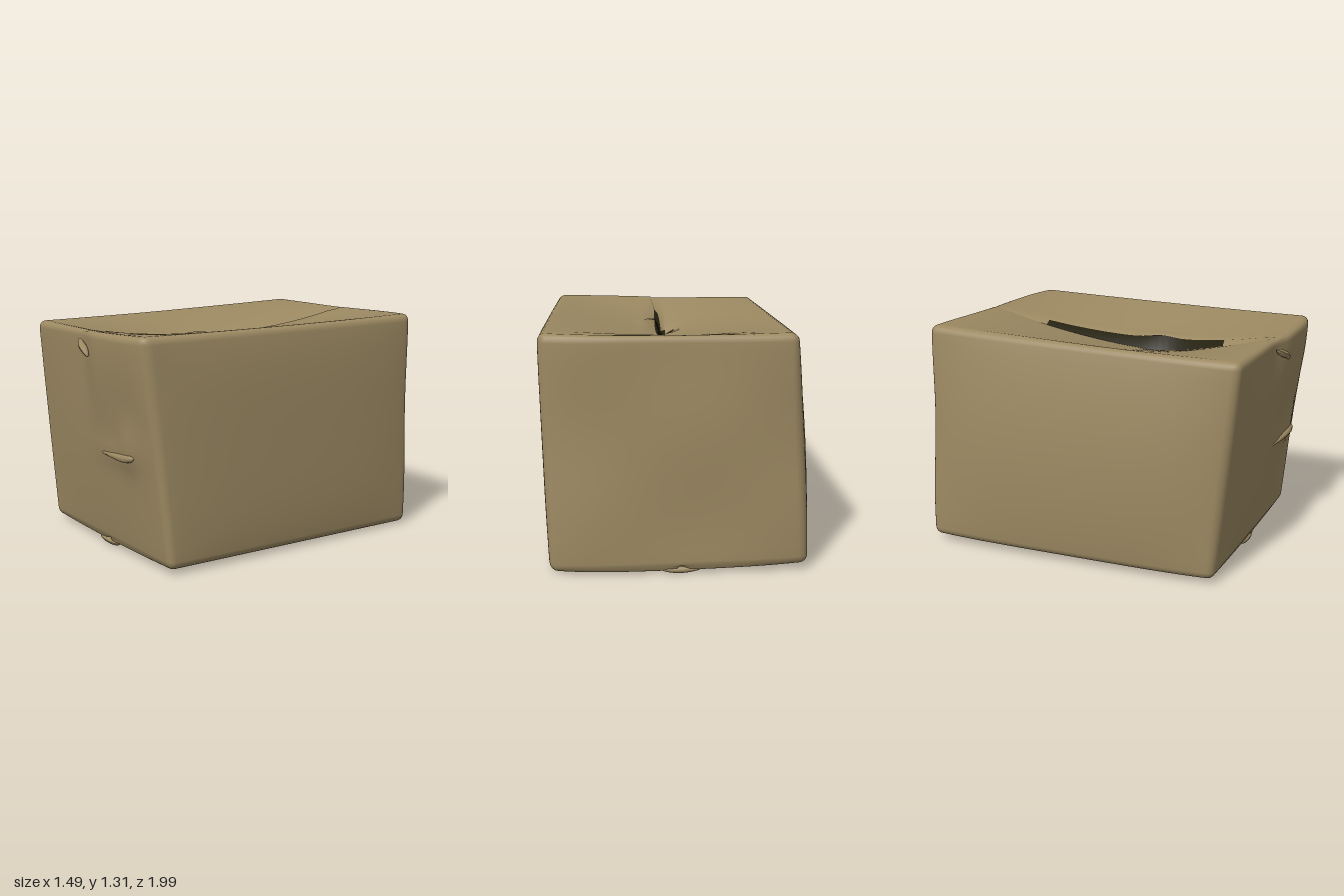
import * as THREE from 'three';
import { mergeVertices } from 'three/addons/utils/BufferGeometryUtils.js';

const HALF = [0.7, 0.63, 0.93];      // half size of the undeformed carton
const SEGS = [30, 26, 50];           // even, three outer segments per side form the rounding
const R = 0.045;

// Bent corners: side signs (x, y, z), then the position
const CORNERS = [
  [-1, -1, -1, -0.705, 0.042, -0.985], [1, -1, -1, 0.705, 0.01, -0.92],
  [-1, -1, 1, -0.695, 0.03, 0.78], [1, -1, 1, 0.692, 0.03, 0.835],
  [-1, 1, -1, -0.625, 1.32, -0.985], [1, 1, -1, 0.745, 1.315, -0.865],
  [-1, 1, 1, -0.665, 1.268, 0.895], [1, 1, 1, 0.65, 1.285, 0.955],
];

const hump = (d, w) => Math.exp(-(d * d) / (w * w));

// Grid index to position, with tight rows at the rounded edges
function gridPos(i, axis) {
  const n = SEGS[axis] / 2, inner = HALF[axis] - R, a = Math.abs(i);
  const v = a <= n - 3 ? (a / (n - 3)) * inner : inner + ((a - n + 3) / 3) * R;
  return Math.sign(i) * v;
}

function cartonGeometry() {
  let g = new THREE.BoxGeometry(2, 2, 2, ...SEGS);
  g.deleteAttribute('uv');
  g.deleteAttribute('normal');
  g = mergeVertices(g);
  g.clearGroups();
  const pos = g.attributes.position, columns = [], onTop = [];

  for (let n = 0; n < pos.count; n++) {
    const raw = [pos.getX(n), pos.getY(n), pos.getZ(n)];
    const idx = raw.map((v, a) => Math.round(v * SEGS[a] / 2));
    const p = new THREE.Vector3(...idx.map(gridPos));
    // rounded edges
    const c = new THREE.Vector3(...HALF.map((h, a) =>
      THREE.MathUtils.clamp(p.getComponent(a), R - h, h - R)));
    p.sub(c).setLength(R).add(c);
    const [u, v, w] = HALF.map((h, a) => p.getComponent(a) / h);

    // bend to the crooked corners
    const q = new THREE.Vector3();
    for (const [a, b, d, x, y, z] of CORNERS) {
      const k = (1 + a * u) * (1 + b * v) * (1 + d * w) / 8;
      q.add(new THREE.Vector3(x, y, z).multiplyScalar(k));
    }
    const top = idx[1] === SEGS[1] / 2, bottom = idx[1] === -SEGS[1] / 2;
    const fu = 1 - u * u, fv = 1 - v * v, fw = 1 - w * w;
    const flatU = 1 - u ** 4, flatV = 1 - v ** 4, flatW = 1 - w ** 4;

    // soft bulges and dents of the walls
    if (u < -0.9) q.x -= 0.06 * fv * flatW + 0.025 * flatW * (1 - v) / 2;
    if (u > 0.9) q.x += 0.025 * flatV * flatW;
    if (w > 0.9) {
      q.z += 0.025 * fu * fv;
      q.z += 0.042 * hump(q.y - 1.18, 0.38) * THREE.MathUtils.smoothstep(u, -0.1, 0.25) * (1 - u ** 10);
      q.z += 0.025 * hump(q.x - 0.42, 0.1) * hump(q.y - 0.66, 0.12);
      q.z += 0.015 * hump(q.x - 0.25, 0.2) * hump(q.y - 0.6, 0.05);
    }
    if (w < -0.9) {
      q.z -= 0.055 * flatU * (0.6 + 0.2 * u);
      q.z += 0.008 * Math.sin(5 * q.x + 2) * Math.sin(6 * q.y);
    }

    // lid flaps sag towards the seam, the left one lying lower in the middle
    if (top) {
      const left = idx[0] <= 0;
      const seam = 0.035 - 0.045 * q.z + 0.03 * hump(q.z - 0.92, 0.2);
      const width = 0.005 + 0.044 * fw * (1 - 0.35 * w);
      if (idx[0] === 0) q.x = seam - width / 2;
      else if (idx[0] === 1) q.x = seam + width / 2;
      else q.x += (seam - 0.01) * (1 - Math.abs(u));
      const gap = 0.035 * fw + 0.025 * hump(q.z - 0.2, 0.35);
      q.y -= ((left ? gap : 0) + 0.1 * fw) * (1 - Math.abs(u)) + 0.006 * fw * fu;
      if (left) q.y -= 0.04 * hump(q.x + 0.02, 0.06) * hump(q.z - 0.25, 0.08);
      else q.y += 0.02 * hump(q.x - 0.03, 0.09) * hump(q.z - 0.2, 0.1);
    }
    // floor flaps meet in a shallow step
    if (bottom) {
      if (idx[0] === 0) q.y += 0.02;
      else if (idx[0] === 1) { q.x -= 0.035; q.y -= 0.015; }
      else q.y -= 0.012 * fu;
    }
    columns.push(idx[0]);
    onTop.push(top);
    pos.setXYZ(n, q.x, q.y, q.z);
  }

  // the open gap between the lid flaps gets the second material
  const light = [], dark = [];
  for (let i = 0; i < g.index.count; i += 3) {
    const t = [0, 1, 2].map(k => g.index.getX(i + k));
    const x = t.reduce((s, k) => s + pos.getX(k), 0) / 3;
    const z = t.reduce((s, k) => s + pos.getZ(k), 0) / 3;
    const inGap = t.every(k => columns[k] === 0 || columns[k] === 1) && z > -0.57 && z < 0.59;
    const inNotch = x > -0.09 && x < 0.03 && Math.abs(z - 0.25) < 0.07 * (x + 0.12) / 0.11;
    (t.every(k => onTop[k]) && (inGap || inNotch) ? dark : light).push(...t);
  }
  g.setIndex([...light, ...dark]);
  g.addGroup(0, light.length, 0);
  g.addGroup(light.length, dark.length, 1);
  g.computeVertexNormals();
  return g;
}

// Raised crease: a tube whose thickness follows a taper rule
function creaseGeometry(points, radius, taper) {
  const curve = new THREE.CatmullRomCurve3(points.map(p => new THREE.Vector3(...p)));
  const n = 24, sides = 10, g = new THREE.TubeGeometry(curve, n, radius, sides, false);
  const pos = g.attributes.position, p = new THREE.Vector3();
  for (let i = 0; i < pos.count; i++) {
    const t = Math.floor(i / (sides + 1)) / n, c = curve.getPointAt(t);
    p.fromBufferAttribute(pos, i).sub(c).multiplyScalar(taper(t)).add(c);
    pos.setXYZ(i, p.x, p.y, p.z);
  }
  g.computeVertexNormals();
  return g;
}

const spindle = t => Math.sqrt(Math.max(0, Math.sin(Math.PI * t)) + 1e-3);

export function createModel() {
  const group = new THREE.Group();
  const cardboard = new THREE.MeshStandardMaterial({ color: 0x9c8962 });
  cardboard.name = 'cardboard';
  const inside = new THREE.MeshStandardMaterial({ color: 0x23200f });
  inside.name = 'dark inside';

  const add = (name, geometry, material) => {
    const mesh = new THREE.Mesh(geometry, material);
    mesh.name = name;
    group.add(mesh);
  };

  add('carton', cartonGeometry(), [cardboard, inside]);

  // crease on the front wall, thick at its +x end
  add('frontCrease', creaseGeometry(
    [[0.05, 0.59, 0.888], [0.25, 0.595, 0.913], [0.4, 0.605, 0.922], [0.475, 0.62, 0.916]], 0.024,
    t => Math.min(1, 0.2 + t) * Math.sqrt(Math.max(0, 1 - Math.pow(t, 12)))), cardboard);

  // small curled tab under the front edge
  add('frontTab', creaseGeometry(
    [[-0.06, 1.215, 0.937], [0.0, 1.185, 0.955], [0.06, 1.16, 0.97], [0.095, 1.13, 0.972]], 0.022,
    spindle), cardboard);

  // ragged lip where the floor flaps meet at the front and back
  for (const [name, z] of [['frontFloorLip', 0.79], ['backFloorLip', -0.96]]) {
    add(name, creaseGeometry([[-0.12, 0.025, z], [0.02, 0.02, z], [0.1, 0.025, z]], 0.018,
      spindle), cardboard);
  }
  return group;
}
